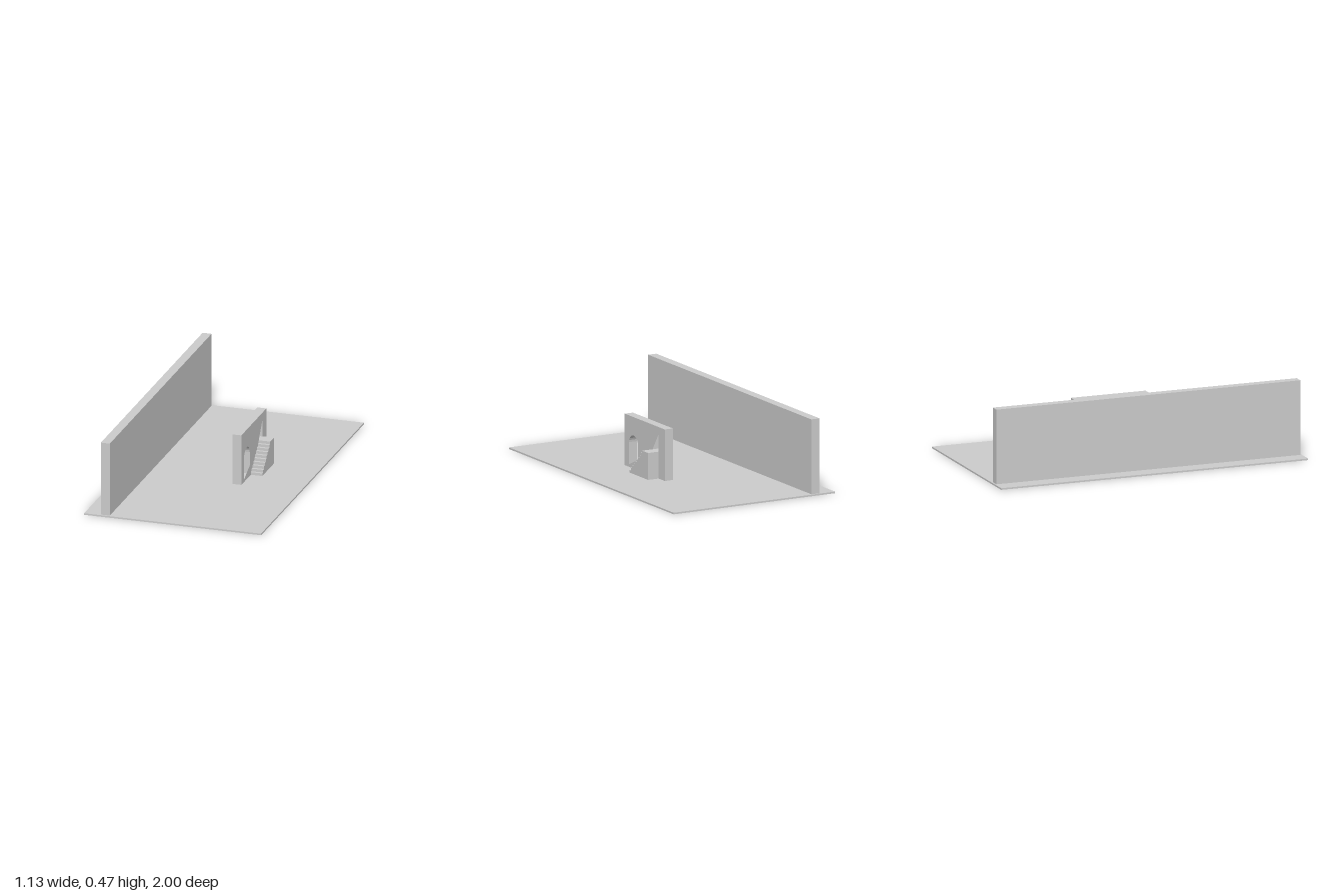
import * as THREE from 'three';

const solid = new THREE.MeshStandardMaterial({ color: 0xcccccc, flatShading: true });
const sheetMat = new THREE.MeshStandardMaterial({ color: 0xcccccc, flatShading: true, side: THREE.DoubleSide });

const GROUND = 0.01;
const BACK_X = 0.133, FRONT_X = 0.19; // faces of the gate wall

function mesh(geometry, name, material = solid) {
  const m = new THREE.Mesh(geometry, material);
  m.name = name;
  return m;
}

// Box given by its minimum and maximum corners
function box(name, x0, x1, y0, y1, z0, z1) {
  const g = new THREE.BoxGeometry(x1 - x0, y1 - y0, z1 - z0);
  g.translate((x0 + x1) / 2, (y0 + y1) / 2, (z0 + z1) / 2);
  return mesh(g, name);
}

const points = (list) => list.map(([u, y]) => new THREE.Vector2(u, y));

// Flat wall face at a given x; outlines use u = -z across and y up
function wallFace(name, outline, holes, x) {
  const shape = new THREE.Shape(points(outline));
  holes.forEach((h) => shape.holes.push(new THREE.Path(points(h))));
  const g = new THREE.ShapeGeometry(shape).rotateY(Math.PI / 2).translate(x, 0, 0);
  return mesh(g, name, sheetMat);
}

// Band through the wall's thickness along a closed outline
function band(name, outline) {
  const pos = [];
  outline.forEach(([u0, y0], i) => {
    const [u1, y1] = outline[(i + 1) % outline.length];
    const a = [FRONT_X, y0, -u0], b = [FRONT_X, y1, -u1];
    const c = [BACK_X, y1, -u1], d = [BACK_X, y0, -u0];
    pos.push(...a, ...d, ...b, ...b, ...d, ...c);
  });
  const g = new THREE.BufferGeometry();
  g.setAttribute('position', new THREE.Float32BufferAttribute(pos, 3));
  g.computeVertexNormals();
  return mesh(g, name, sheetMat);
}

function gateWall() {
  const group = new THREE.Group();
  group.name = 'gateWall';
  const outline = [[-0.243, GROUND], [0.243, GROUND], [0.243, 0.33], [-0.243, 0.33]];

  // Round-topped doorway
  const u0 = -0.192, u1 = -0.08, spring = 0.163, sill = 0.025;
  const arch = [];
  for (let i = 0; i <= 12; i++) {
    const t = (i / 12) * Math.PI;
    arch.push([(u0 + u1) / 2 + ((u1 - u0) / 2) * Math.cos(t), spring + 0.052 * Math.sin(t)]);
  }
  const doorway = [[u0, sill], [u1, sill], ...arch];
  // The openings in the faces have a slanted sill; the rear one a slanted head too
  const frontDoor = [[u0, sill], [u1, 0.077], ...arch];
  const rearDoor = [[u0, sill], [u1, 0.077], [u1, spring], ...arch.slice(8)];

  // Upper door at the stair head, half covered on each face
  const a = 0.095, b = 0.166, low = 0.177, high = 0.283;
  const upperDoor = [[a, low], [b, low], [b, high], [a, high]];
  const frontUpper = [[a, low], [b, low], [b, high]];
  const rearUpper = [[a, low], [b, high], [a, high - 0.005]];

  group.add(
    wallFace('gateWallFront', outline, [frontDoor, frontUpper], FRONT_X),
    wallFace('gateWallBack', outline, [rearDoor, rearUpper], BACK_X),
    band('gateWallEdges', outline),
    band('doorwayReveal', doorway),
    band('upperDoorReveal', upperDoor)
  );
  return group;
}

// Solid flight of steps with a landing on top
function stairs() {
  const steps = 10, start = -0.06, landing = 0.095, end = 0.168, top = 0.177;
  const rise = (top - GROUND) / steps, run = (landing - start) / (steps - 1);
  const outline = [[end, GROUND], [end, top]];
  for (let i = steps - 1; i >= 0; i--) {
    const u = start + i * run;
    outline.push([u, GROUND + (i + 1) * rise], [u, GROUND + i * rise]);
  }
  const g = new THREE.ExtrudeGeometry(new THREE.Shape(points(outline)), { depth: 0.073, bevelEnabled: false });
  g.rotateY(Math.PI / 2).translate(FRONT_X, 0, 0);
  return mesh(g, 'stairs');
}

export function createModel() {
  const model = new THREE.Group();
  model.name = 'courtyard';
  model.add(
    box('ground', -0.563, 0.563, 0, GROUND, -1, 1),
    box('longWall', -0.46, -0.403, GROUND, 0.475, -0.99, 0.99),
    gateWall(),
    stairs()
  );
  return model;
}
